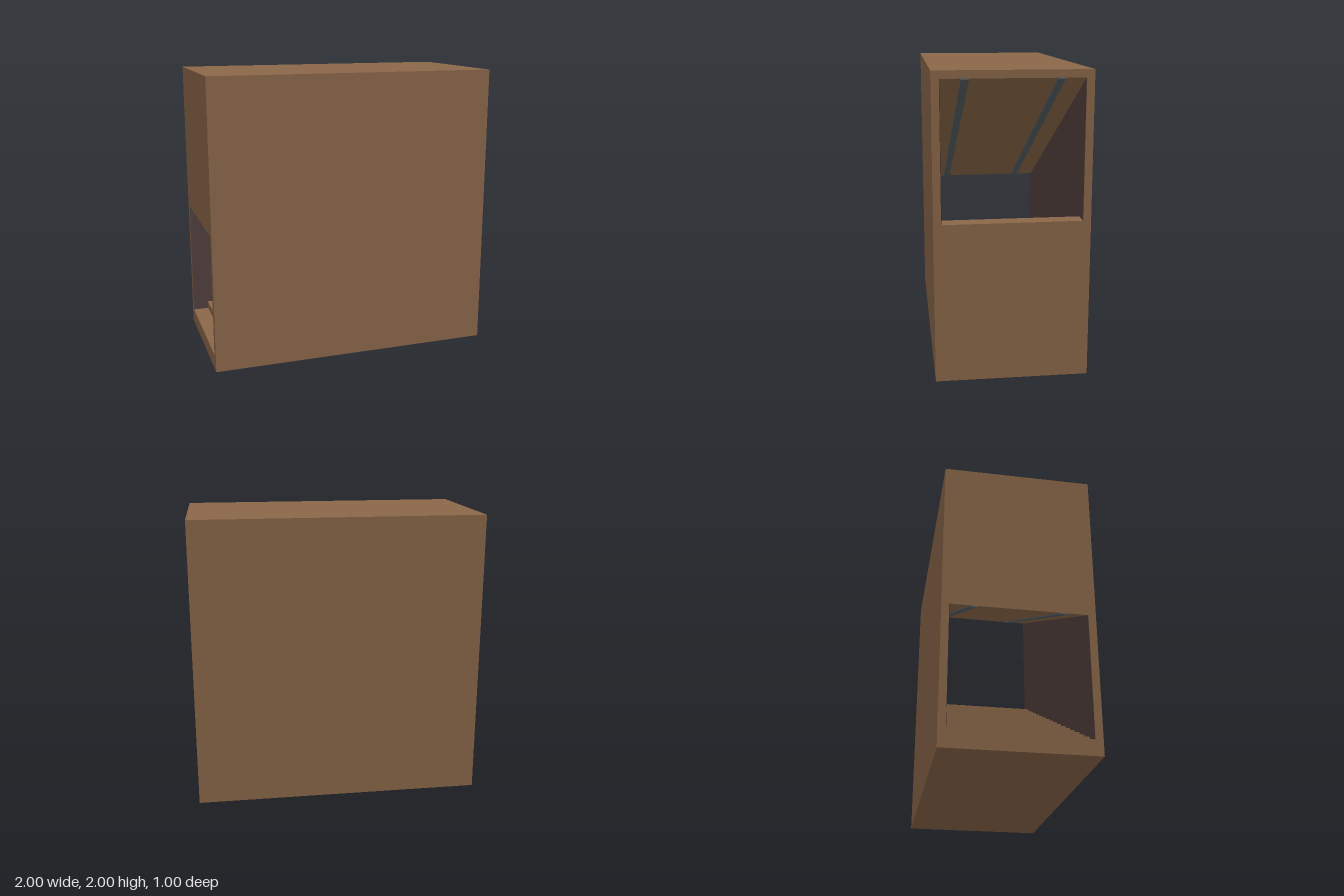
import * as THREE from 'three';

const STEPS = 18, HALF_DEPTH = 0.5, INNER = 0.45;
const FLOOR = 0.05, RISE = 1 / STEPS, RUN = 2 / STEPS;

// Stair outline from the low end (-x) up to the high end (+x)
function stairPoints() {
  const pts = [];
  for (let i = 0; i < STEPS; i++) {
    const y = FLOOR + RISE * (i + 1);
    pts.push(new THREE.Vector2(-1 + RUN * i, y), new THREE.Vector2(-1 + RUN * (i + 1), y));
  }
  return pts;
}

export function createModel() {
  const group = new THREE.Group();
  const brown = new THREE.MeshStandardMaterial({ color: 0x8a6749 });
  brown.name = 'brown casing';
  const dark = new THREE.MeshStandardMaterial({ color: 0x513f3d, side: THREE.DoubleSide });
  dark.name = 'dark inner wall';
  const grey = new THREE.MeshStandardMaterial({ color: 0x566164 });
  grey.name = 'slate strip';

  const add = (name, geometry, material) => {
    const mesh = new THREE.Mesh(geometry, material);
    mesh.name = name;
    group.add(mesh);
    return mesh;
  };
  const v = (x, y) => new THREE.Vector2(x, y);
  const across = (points) => new THREE.ExtrudeGeometry(new THREE.Shape(points),
    { depth: INNER * 2, bevelEnabled: false }).translate(0, 0, -INNER);

  // Solid staircase and the sloping ceiling above it
  const stairs = stairPoints();
  add('staircase', across([v(-1, 0), ...stairs, v(1, 0)]), brown);
  add('slopedCeiling', across([v(-1, 0.95), v(1, 1.95), v(1, 2), v(-1, 2)]), brown);

  // Outer side panels, inner wall linings and ceiling strips, mirrored front to back
  const passage = new THREE.Shape([...stairs, v(1, 1.95), v(-1, 0.95)]);
  const thick = HALF_DEPTH - INNER;
  for (const side of [1, -1]) {
    const panel = add('sidePanel', new THREE.BoxGeometry(2, 2, thick), brown);
    panel.position.set(0, 1, side * (INNER + thick / 2));

    const lining = add('innerWall', new THREE.ShapeGeometry(passage), dark);
    lining.position.z = side * (INNER - 0.002);

    // Thin strip following the underside of the ceiling
    const strip = new THREE.ExtrudeGeometry(new THREE.Shape(
      [v(-1, 0.942), v(1, 1.942), v(1, 1.95), v(-1, 0.95)]), { depth: 0.05, bevelEnabled: false });
    add('ceilingStrip', strip, grey).position.z = side * 0.295 - 0.025;
  }
  return group;
}
